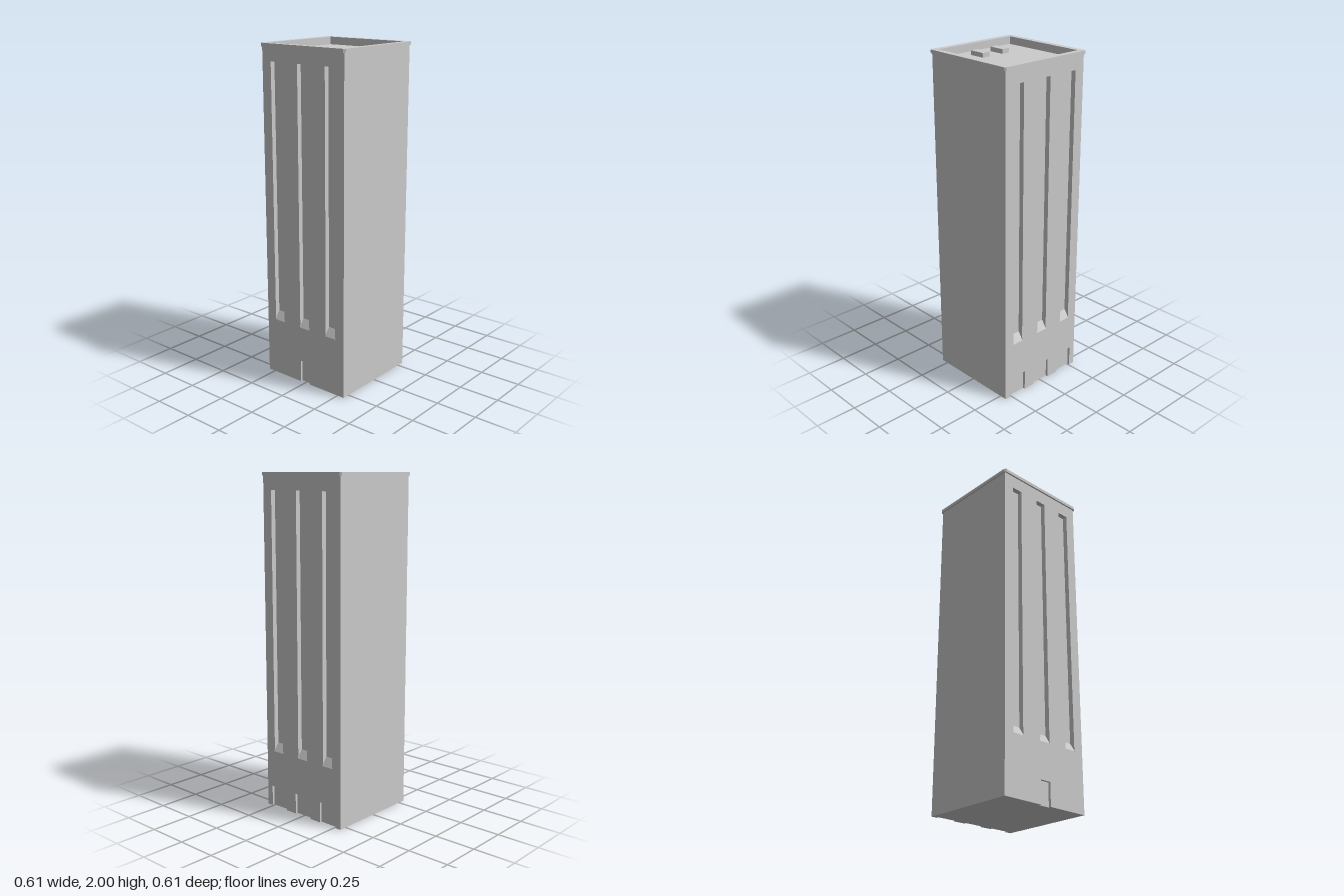
import * as THREE from 'three';

const HALF = 0.295;      // half width of the tower
const TOP = 1.98;        // underside of the cornice
const ROOF = 1.955;      // sunken roof deck
const BAYS = [-0.197, 0, 0.197];

const material = new THREE.MeshStandardMaterial({ color: 0xcccccc, flatShading: true });

function add(parent, name, geometry, x = 0, y = 0, z = 0) {
  const mesh = new THREE.Mesh(geometry, material);
  mesh.name = name;
  mesh.position.set(x, y, z);
  parent.add(mesh);
  return mesh;
}

const v2 = (pts, dx = 0) => pts.map(([x, y]) => new THREE.Vector2(x + dx, y));

// Square outline with optional cut corners
function square(h, cut = 0) {
  const k = h - cut;
  return cut
    ? v2([[-k, -h], [k, -h], [h, -k], [h, k], [k, h], [-k, h], [-h, k], [-h, -k]])
    : v2([[-h, -h], [h, -h], [h, h], [-h, h]]);
}

// Square ring standing between two heights
function ring(outer, inner, y0, y1) {
  const shape = new THREE.Shape(outer);
  shape.holes.push(new THREE.Path(inner));
  const g = new THREE.ExtrudeGeometry(shape, { depth: y1 - y0, bevelEnabled: false });
  return g.rotateX(-Math.PI / 2).translate(0, y0, 0);
}

// Reveals and back of a recess; outlines run counter-clockwise, bottom edge first
function recess(front, back, depth, openBottom) {
  const p = [];
  const n = front.length;
  const f = i => [front[i % n][0], front[i % n][1], 0];
  const b = i => [back[i % n][0], back[i % n][1], -depth];
  for (let i = openBottom ? 1 : 0; i < n; i++) {
    p.push(...f(i), ...f(i + 1), ...b(i + 1), ...f(i), ...b(i + 1), ...b(i));
  }
  for (let i = 1; i < n - 1; i++) p.push(...b(0), ...b(i), ...b(i + 1));
  const g = new THREE.BufferGeometry();
  g.setAttribute('position', new THREE.Float32BufferAttribute(p, 3));
  g.computeVertexNormals();
  return g;
}

// Tall window slot with a sloping, slightly flared sill
const W = 0.035;
const SLOT_FRONT = [[-0.038, 0.35], [0.038, 0.35], [W, 0.37], [W, 1.9], [-W, 1.9], [-W, 0.37]];
const SLOT_BACK = [[-W, 0.4], [W, 0.4], [W, 0.42], [W, 1.9], [-W, 1.9], [-W, 0.42]];
const SLOT_DEPTH = 0.03;
const DOOR_DEPTH = 0.015;

// Wall with three slots and door notches along its foot
function facade(name, doors, doorHalf, doorHeight) {
  const group = new THREE.Group();
  group.name = name;
  const outline = [[-HALF, 0]];
  for (const x of doors) {
    outline.push([x - doorHalf, 0], [x - doorHalf, doorHeight],
      [x + doorHalf, doorHeight], [x + doorHalf, 0]);
  }
  outline.push([HALF, 0], [HALF, TOP], [-HALF, TOP]);
  const wall = new THREE.Shape(v2(outline));
  for (const x of BAYS) wall.holes.push(new THREE.Path(v2(SLOT_FRONT, x)));
  add(group, name + 'Panel', new THREE.ShapeGeometry(wall), 0, 0, HALF);

  for (const x of BAYS) {
    add(group, 'windowSlot', recess(SLOT_FRONT, SLOT_BACK, SLOT_DEPTH, false), x, 0, HALF);
  }
  const door = [[-doorHalf, 0], [doorHalf, 0], [doorHalf, doorHeight], [-doorHalf, doorHeight]];
  for (const x of doors) {
    add(group, 'doorway', recess(door, door, DOOR_DEPTH, true), x, 0, HALF);
  }
  return group;
}

// Foot outline of one facade, stepping in at each doorway
function footEdge(doors, half) {
  const pts = [[-HALF, -HALF]];
  for (const x of doors) {
    pts.push([x - half, -HALF], [x - half, -HALF + DOOR_DEPTH],
      [x + half, -HALF + DOOR_DEPTH], [x + half, -HALF]);
  }
  return pts;
}

export function createModel() {
  const model = new THREE.Group();
  model.name = 'tower';

  // Front with one door, back with three wide ones
  model.add(facade('frontWall', [0], 0.035, 0.135));
  const back = facade('backWall', BAYS, 0.06, 0.125);
  back.rotation.y = Math.PI;
  model.add(back);

  // Plain side walls
  for (const s of [-1, 1]) {
    const side = new THREE.PlaneGeometry(2 * HALF, TOP).rotateY(s * Math.PI / 2);
    add(model, s > 0 ? 'leftWall' : 'rightWall', side, s * HALF, TOP / 2, 0);
  }

  // Underside, notched at the doorways
  const foot = [
    ...footEdge(BAYS, 0.06),
    ...footEdge([0], 0.035).map(([x, y]) => [-x, -y]),
  ];
  foot.splice(13, 0, [HALF, -HALF]);
  foot.push([-HALF, HALF]);
  add(model, 'underside', new THREE.ShapeGeometry(new THREE.Shape(v2(foot))).rotateX(Math.PI / 2));

  // Cornice, parapet and sunken roof deck
  add(model, 'cornice', ring(square(0.305, 0.01), square(0.27), TOP, 2));
  add(model, 'parapet', ring(square(0.29), square(0.27), ROOF - 0.005, TOP));
  add(model, 'roofDeck', new THREE.PlaneGeometry(0.56, 0.56).rotateX(-Math.PI / 2), 0, ROOF, 0);

  // Two rooftop units
  for (const x of [-0.074, 0.073]) {
    add(model, 'rooftopUnit', new THREE.BoxGeometry(0.05, 0.026, 0.097), x, ROOF + 0.013, 0.146);
  }
  return model;
}
